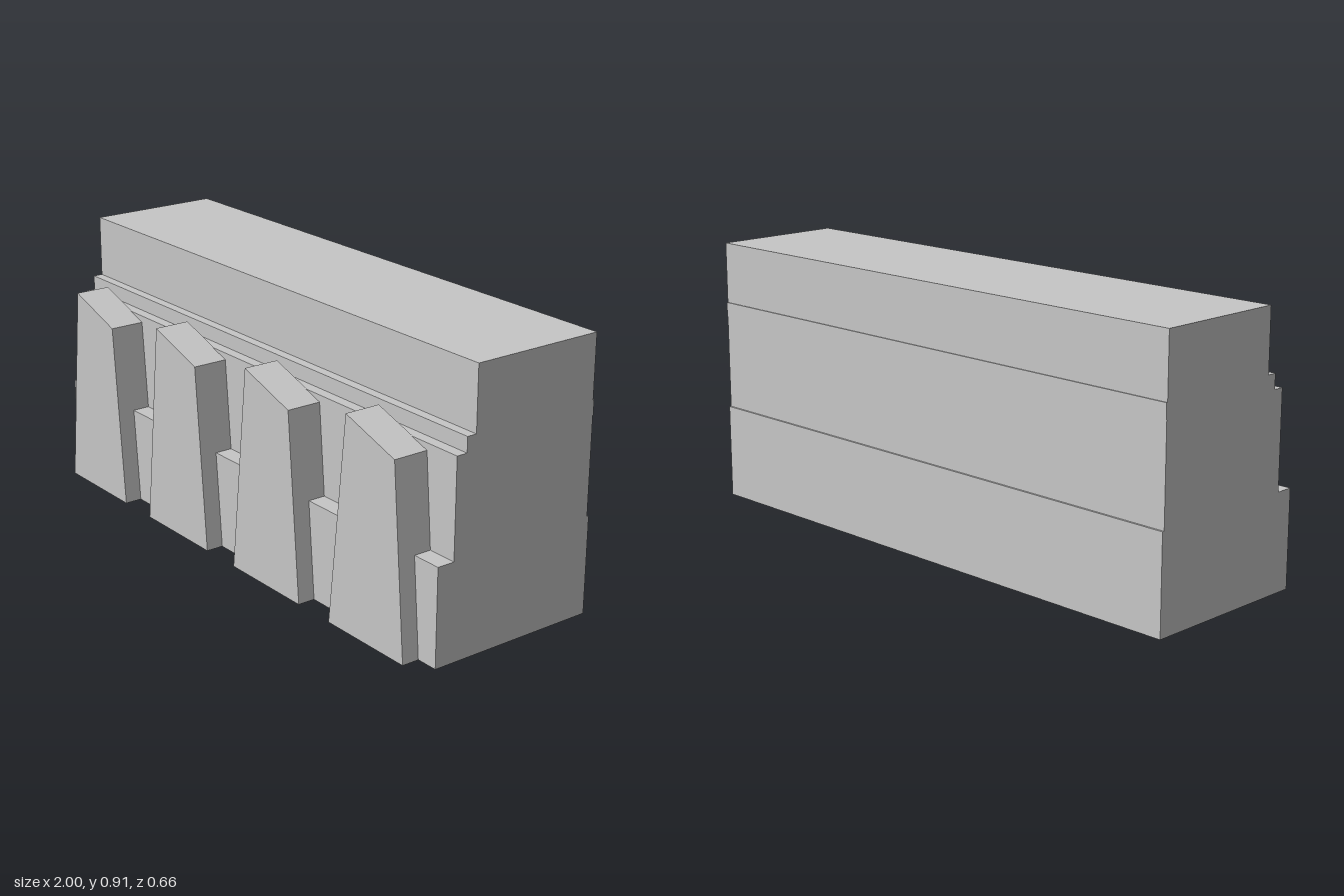
import * as THREE from 'three';

const stone = new THREE.MeshStandardMaterial({ color: 0xc6c6c6 });
stone.name = 'paleStone';

const COUNT = 4;      // buttresses along the wall
const SPACING = 0.5;

function extrude(name, points, depth) {
  const shape = new THREE.Shape(points.map(([x, y]) => new THREE.Vector2(x, y)));
  const geometry = new THREE.ExtrudeGeometry(shape, { depth, bevelEnabled: false });
  const mesh = new THREE.Mesh(geometry, stone);
  mesh.name = name;
  return mesh;
}

export function createModel() {
  const model = new THREE.Group();
  model.name = 'buttressedWall';

  // Wall courses, from the ground up: [bottom, top, front z, back z]
  const courses = [
    [0, 0.325, 0.27, -0.33],
    [0.325, 0.65, 0.21, -0.323],
    [0.65, 0.7, 0.173, -0.325],
    [0.7, 0.91, 0.14, -0.321],
  ];
  // One stepped section, swept along x
  const back = courses.flatMap(([y0, y1, , z]) => [[-z, y0], [-z, y1]]);
  const front = courses.flatMap(([y0, y1, z]) => [[-z, y0], [-z, y1]]).reverse();
  const wall = extrude('steppedWall', [...back, ...front], 2);
  wall.rotation.y = Math.PI / 2;
  wall.position.x = -1;
  model.add(wall);

  // Tapered buttresses with slanted tops
  const outline = [[-0.175, 0], [0.175, 0], [0.122, 0.627], [-0.1, 0.7]];
  for (let i = 0; i < COUNT; i++) {
    const buttress = extrude('buttress' + (i + 1), outline, 0.123);
    buttress.position.set((i - (COUNT - 1) / 2) * SPACING, 0, 0.207);
    model.add(buttress);
  }
  return model;
}
